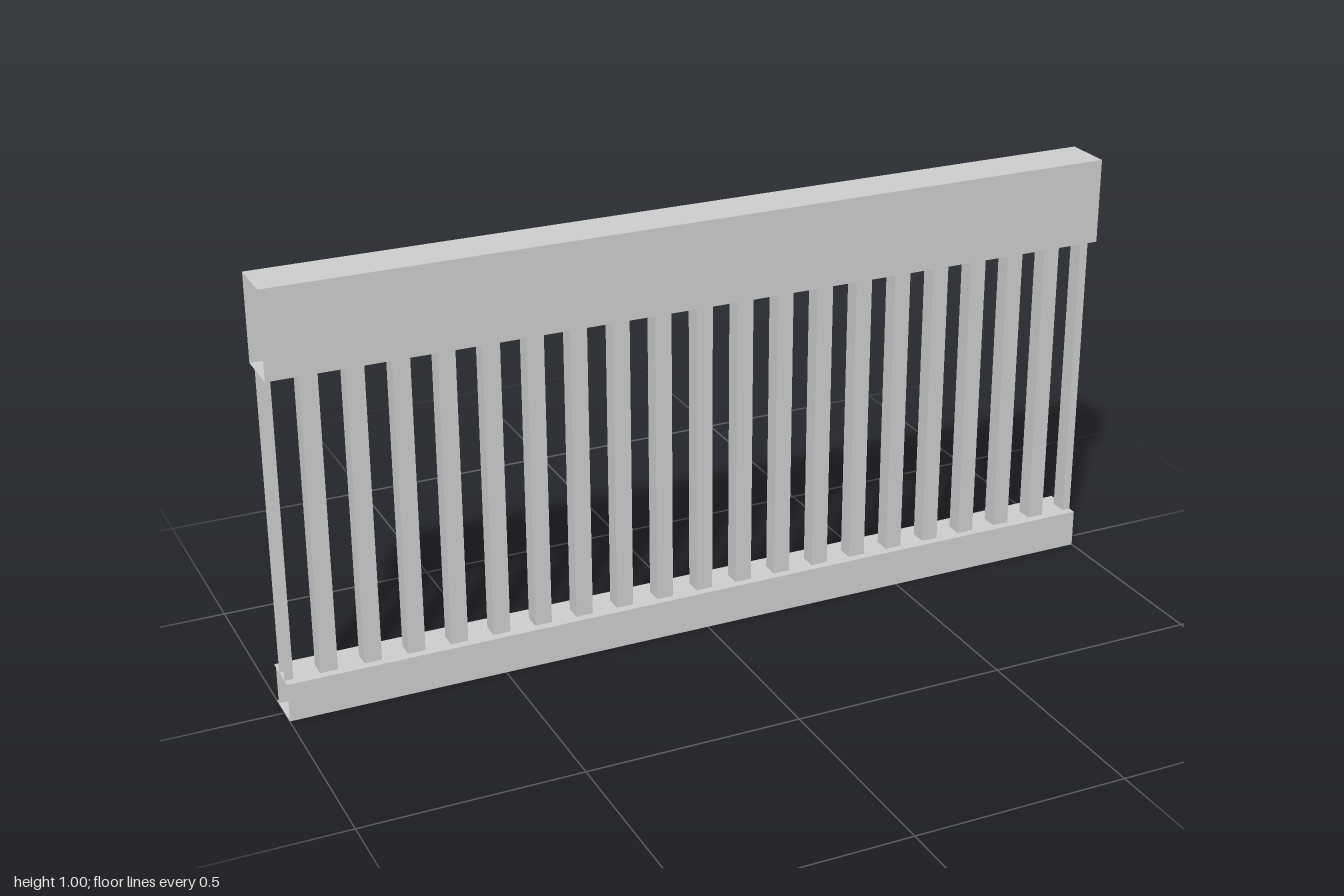
import * as THREE from 'three';

const material = new THREE.MeshStandardMaterial({ color: 0xcccccc, side: THREE.DoubleSide });

// Sweeps a profile of [x, y, z] points along a vector, leaving the ends open.
function sheet(name, profile, sweep) {
  const points = profile.map((p) => new THREE.Vector3(...p));
  const d = new THREE.Vector3(...sweep);
  const corners = [];
  for (let i = 0; i < points.length - 1; i++) {
    const a = points[i], b = points[i + 1];
    const c = b.clone().add(d), e = a.clone().add(d);
    corners.push(a, b, c, a, c, e);
  }
  const geometry = new THREE.BufferGeometry().setFromPoints(corners);
  geometry.computeVertexNormals();
  const mesh = new THREE.Mesh(geometry, material);
  mesh.name = name;
  return mesh;
}

// Hollow rail running the full length, open at both ends.
function rail(name, bottom, top, back, front) {
  return sheet(name, [
    [-1, top, back], [-1, top, front], [-1, bottom, front],
    [-1, bottom, back], [-1, top, back],
  ], [2, 0, 0]);
}

export function createModel() {
  const model = new THREE.Group();
  model.name = 'railing';

  const low = 0.09, high = 0.8, half = 0.02;

  // Top rail
  model.add(rail('topRail', high, 1, -0.06, 0.055));

  // Bottom rail, with narrow lips along the back
  const bottomRail = new THREE.Group();
  bottomRail.name = 'bottomRail';
  bottomRail.add(rail('bottomRailBody', 0, low, -0.045, 0.04));
  for (const [name, y] of [['upperLip', low], ['lowerLip', 0]]) {
    bottomRail.add(sheet(name, [[-1, y, -0.06], [-1, y, -0.045]], [2, 0, 0]));
  }
  model.add(bottomRail);

  // Square balusters
  const balusters = new THREE.Group();
  balusters.name = 'balusters';
  const post = new THREE.BoxGeometry(2 * half, high - low, 2 * half);
  for (let i = -9; i <= 9; i++) {
    const baluster = new THREE.Mesh(post, material);
    baluster.name = 'baluster';
    baluster.position.set(i * 0.1, (low + high) / 2, 0);
    balusters.add(baluster);
  }

  // Half balusters cut open at the two ends
  for (const turn of [0, Math.PI]) {
    const end = sheet('endBaluster', [
      [1, low, -half], [1 - half, low, -half], [1 - half, low, half], [1, low, half],
    ], [0, high - low, 0]);
    end.rotation.y = turn;
    balusters.add(end);
  }
  model.add(balusters);

  return model;
}
